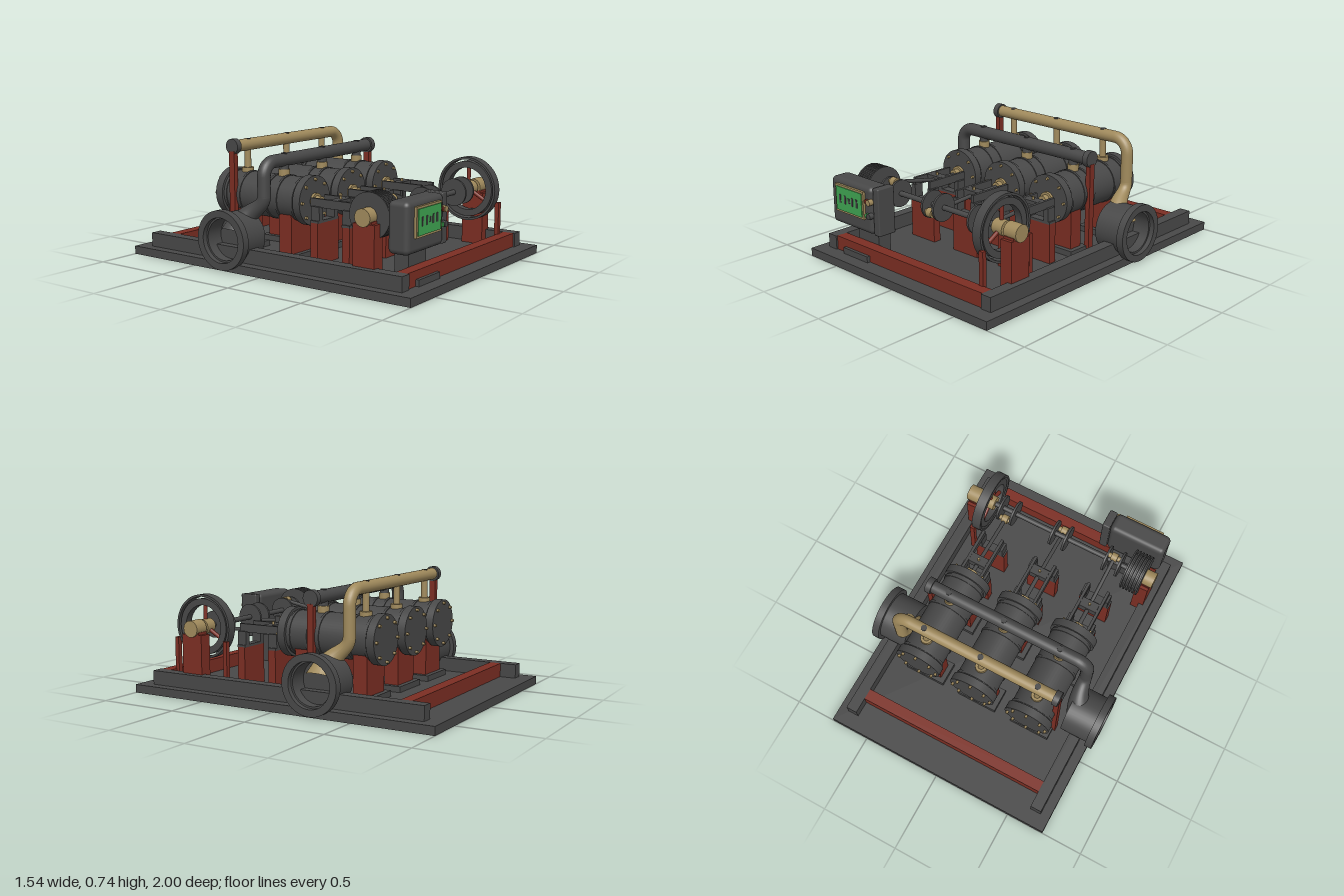
import * as THREE from 'three';
import { RoundedBoxGeometry } from 'three/addons/geometries/RoundedBoxGeometry.js';

const mat = (name, color) => {
  const m = new THREE.MeshStandardMaterial({ color });
  m.name = name;
  return m;
};

export function createModel() {
  const root = new THREE.Group();
  root.name = 'steamPump';
  const iron = mat('darkIron', 0x484848), red = mat('redPaint', 0x7c2e23);
  const brass = mat('brass', 0xa08a5c), green = mat('screenGreen', 0x3fa552);

  const add = (name, geo, m, x = 0, y = 0, z = 0, parent = root) => {
    const mesh = new THREE.Mesh(geo, m);
    mesh.name = name;
    mesh.position.set(x, y, z);
    parent.add(mesh);
    return mesh;
  };
  // box given by its limits on each axis
  const box = (name, m, x0, x1, y0, y1, z0, z1, parent) =>
    add(name, new THREE.BoxGeometry(x1 - x0, y1 - y0, z1 - z0), m,
      (x0 + x1) / 2, (y0 + y1) / 2, (z0 + z1) / 2, parent);
  // cylinder centred on a point, lying along the given axis
  const cyl = (name, m, axis, r, len, x, y, z, parent, seg = 32) => {
    const g = new THREE.CylinderGeometry(r, r, len, seg);
    if (axis === 'x') g.rotateZ(Math.PI / 2);
    if (axis === 'z') g.rotateX(Math.PI / 2);
    return add(name, g, m, x, y, z, parent);
  };
  const rod = (name, m, a, b, r) => {
    const mesh = cyl(name, m, 'y', r, a.distanceTo(b), 0, 0, 0, root, 16);
    mesh.position.copy(a).add(b).multiplyScalar(0.5);
    mesh.quaternion.setFromUnitVectors(new THREE.Vector3(0, 1, 0), b.clone().sub(a).normalize());
  };
  const V = (x, y, z) => new THREE.Vector3(x, y, z);
  const ring = (name, m, rOut, rIn, w, x, y, z) => {
    const h = w / 2;
    const g = new THREE.LatheGeometry([[rIn, -h], [rOut, -h], [rOut, -h], [rOut, h], [rOut, h],
      [rIn, h], [rIn, h], [rIn, -h]].map(p => new THREE.Vector2(...p)), 48);
    return add(name, g.rotateZ(-Math.PI / 2), m, x, y, z);
  };

  // base plate and frame
  box('basePlate', iron, -0.74, 0.74, 0, 0.05, -1, 1);
  for (const s of [-1, 1]) add('sideRail', new THREE.BoxGeometry(0.07, 0.085, 1.82), iron, s * 0.645, 0.0925, 0);
  box('frontCrossRail', red, -0.61, 0.61, 0.05, 0.135, 0.83, 0.9);
  box('rearCrossRail', red, -0.61, 0.61, 0.05, 0.135, -0.81, -0.74);

  const shaftY = 0.405, shaftZ = 0.64, throwR = 0.06;
  [-0.37, 0, 0.37].forEach((x, i) => {
    // cylinder with flanges, bands and bolts
    const c = new THREE.Group();
    c.name = 'pumpCylinder';
    c.position.set(x, 0.4, 0);
    root.add(c);
    cyl('cylinderBody', iron, 'z', 0.13, 0.62, 0, 0, -0.205, c, 48);
    for (const z of [0.09, -0.495]) cyl('cylinderFlange', iron, 'z', 0.146, 0.05, 0, 0, z, c, 48);
    for (const z of [0.045, -0.07, -0.15, -0.35, -0.455]) cyl('cylinderBand', iron, 'z', 0.135, 0.015, 0, 0, z, c, 48);
    for (let k = 0; k < 8; k++) {
      const a = k * Math.PI / 4;
      for (const z of [0.119, -0.526])
        cyl('flangeBolt', brass, 'z', 0.009, 0.02, Math.cos(a) * 0.125, Math.sin(a) * 0.125, z, c, 6);
    }
    cyl('glandFlange', brass, 'z', 0.045, 0.02, 0, 0, 0.122, c);
    cyl('gland', brass, 'z', 0.03, 0.05, 0, 0, 0.14, c);

    // saddles under the cylinder
    for (const z of [-0.025, -0.41]) {
      box('saddle', red, x - 0.1, x + 0.1, 0.05, 0.32, z - 0.045, z + 0.045);
      box('saddleFoot', iron, x - 0.13, x + 0.13, 0.05, 0.085, z - 0.075, z + 0.075);
    }

    // guide supports and slide bars
    for (const z of [0.185, 0.405]) {
      box('guideSupport', red, x - 0.1, x + 0.1, 0.05, 0.292, z - 0.025, z + 0.025);
      box('guidePlate', iron, x - 0.1, x + 0.1, 0.29, 0.305, z - 0.027, z + 0.027);
      for (const s of [-1, 1]) add('guideBracket', new THREE.BoxGeometry(0.035, 0.08, 0.06), iron, x + s * 0.073, 0.345, z);
    }
    for (const s of [-1, 1]) add('slideBar', new THREE.BoxGeometry(0.018, 0.05, 0.29), iron, x + s * 0.066, 0.405, 0.285);

    // crank, connecting rod and crosshead
    const a = [90, 330, 210][i] * Math.PI / 180;
    const pinY = shaftY + throwR * Math.sin(a), pinZ = shaftZ + throwR * Math.cos(a);
    const headZ = [0.3, 0.35, 0.24][i];
    for (const s of [-1, 1]) cyl('crankWeb', iron, 'x', 0.083, 0.014, x + s * 0.046, shaftY, shaftZ);
    cyl('crankPin', brass, 'x', 0.016, 0.09, x, pinY, pinZ);
    cyl('rodBigEnd', brass, 'x', 0.027, 0.04, x, pinY, pinZ);
    rod('connectingRod', iron, V(x, 0.4, headZ), V(x, pinY, pinZ), 0.012);
    rod('pistonRod', iron, V(x, 0.4, 0.1), V(x, 0.4, headZ), 0.013);
    box('crosshead', iron, x - 0.056, x + 0.056, 0.375, 0.43, headZ - 0.03, headZ + 0.03);
    cyl('crossheadOiler', brass, 'y', 0.008, 0.02, x, 0.437, headZ, root, 12);

    // branch pipes with collars and cover caps
    cyl('outletBranch', brass, 'y', 0.02, 0.2, x, 0.6, -0.39);
    cyl('outletFoot', brass, 'y', 0.036, 0.035, x, 0.535, -0.39);
    cyl('inletBranch', brass, 'y', 0.034, 0.05, x, 0.54, -0.11);
    cyl('inletCollar', iron, 'y', 0.028, 0.04, x, 0.575, -0.11);
    cyl('outletCap', iron, 'y', 0.018, 0.008, x, 0.722, -0.39, root, 16);
    cyl('inletCap', iron, 'y', 0.018, 0.008, x, 0.657, -0.11, root, 16);
  });

  // header pipes: s is the side on which the pipe turns down
  const header = (name, m, s, y, z, r, bend) => {
    const path = new THREE.CurvePath();
    path.add(new THREE.LineCurve3(V(-s * 0.49, y, z), V(s * (0.555 - bend), y, z)));
    path.add(new THREE.CubicBezierCurve3(V(s * (0.555 - bend), y, z), V(s * (0.555 - bend * 0.45), y, z),
      V(s * 0.555, y - bend * 0.45, z), V(s * 0.555, y - bend, z)));
    path.add(new THREE.LineCurve3(V(s * 0.555, y - bend, z), V(s * 0.555, 0.42, z)));
    add(name + 'Pipe', new THREE.TubeGeometry(path, 90, r, 24), m);
    cyl(name + 'EndCap', iron, 'x', r + 0.01, 0.037, -s * 0.495, y, z);
    box(name + 'Post', red, -s * 0.5 - 0.016, -s * 0.5 + 0.016, 0.05, y - r * 0.8, z - 0.02, z + 0.02);

    // widening duct from the header into the side port
    const duct = new THREE.CubicBezierCurve3(V(s * 0.555, 0.43, z), V(s * 0.555, 0.34, z),
      V(s * 0.555, 0.34, -0.26), V(s * 0.62, 0.2, -0.26));
    const seg = 20, rad = 32, g = new THREE.TubeGeometry(duct, seg, 1, rad);
    const p = g.attributes.position, v = V(0, 0, 0);
    for (let k = 0; k < p.count; k++) {
      const t = Math.floor(k / (rad + 1)) / seg, c = duct.getPointAt(t);
      v.fromBufferAttribute(p, k).sub(c).multiplyScalar(r + (0.1 - r) * t * t).add(c);
      p.setXYZ(k, v.x, v.y, v.z);
    }
    g.computeVertexNormals();
    add(name + 'Duct', g, m);

    // open flanged port
    cyl('portEnd', iron, 'x', 0.125, 0.08, s * 0.59, 0.185, -0.26);
    ring('portBody', iron, 0.15, 0.122, 0.19, s * 0.645, 0.185, -0.26);
    ring('portFlange', iron, 0.175, 0.133, 0.045, s * 0.7475, 0.185, -0.26);
  };
  header('outlet', brass, 1, 0.69, -0.39, 0.036, 0.09);
  header('inlet', iron, -1, 0.62, -0.11, 0.039, 0.08);

  // crankshaft and end bearings
  cyl('crankshaft', iron, 'x', 0.016, 1.24, 0, shaftY, shaftZ);
  for (const s of [-1, 1]) {
    add('bearingPedestal', new THREE.BoxGeometry(0.08, 0.32, 0.14), red, s * 0.6, 0.21, shaftZ);
    add('bearingSeat', new THREE.BoxGeometry(0.076, 0.03, 0.1), red, s * 0.6, 0.37, shaftZ);
    cyl('bearing', brass, 'x', 0.05, 0.09, s * 0.607, shaftY, shaftZ);
  }

  // flywheel with red spokes, guard hoop and posts
  ring('flywheelRim', iron, 0.17, 0.13, 0.05, 0.505, shaftY, shaftZ);
  ring('guardHoop', iron, 0.195, 0.181, 0.06, 0.505, shaftY, shaftZ);
  cyl('flywheelHub', brass, 'x', 0.045, 0.075, 0.505, shaftY, shaftZ);
  for (let k = 0; k < 3; k++) {
    const a = Math.PI / 2 + k * Math.PI * 2 / 3, c = Math.cos(a), n = Math.sin(a);
    rod('flywheelSpoke', red, V(0.505, shaftY + n * 0.03, shaftZ + c * 0.03),
      V(0.505, shaftY + n * 0.14, shaftZ + c * 0.14), 0.012);
  }
  for (const z of [0.463, 0.825]) box('guardPost', red, 0.525, 0.555, 0.05, 0.33, z - 0.013, z + 0.013);

  // grooved belt pulley
  cyl('pulleyCore', iron, 'x', 0.108, 0.11, -0.53, shaftY, shaftZ, root, 40);
  for (let k = 0; k < 6; k++) cyl('pulleyRib', iron, 'x', 0.13, 0.01, -0.58 + k * 0.021, shaftY, shaftZ, root, 40);

  // control panel on its stand
  box('panelFoot', iron, -0.53, -0.31, 0.05, 0.087, 0.78, 0.92);
  box('panelColumn', iron, -0.49, -0.31, 0.05, 0.23, 0.74, 0.828);
  add('panelCase', new RoundedBoxGeometry(0.37, 0.285, 0.13, 4, 0.03), iron, -0.445, 0.37, 0.845);
  add('panelSideBox', new RoundedBoxGeometry(0.05, 0.285, 0.12, 2, 0.008), iron, -0.235, 0.37, 0.84);
  box('screenFrame', brass, -0.57, -0.315, 0.315, 0.482, 0.9, 0.925);
  box('screen', green, -0.558, -0.327, 0.327, 0.47, 0.924, 0.93);
  [-0.52, -0.475, -0.44, -0.41, -0.37].forEach((x, k) =>
    add('screenBar', new THREE.BoxGeometry(0.014, k === 2 ? 0.03 : 0.05, 0.004), iron, x, 0.4, 0.931));
  cyl('stopButton', red, 'z', 0.013, 0.025, -0.295, 0.43, 0.912, root, 20);
  cyl('startButton', green, 'z', 0.013, 0.025, -0.295, 0.345, 0.912, root, 20);
  cyl('panelKnob', brass, 'z', 0.018, 0.03, -0.27, 0.428, 0.915, root, 20);
  cyl('panelSwitch', iron, 'z', 0.018, 0.03, -0.27, 0.345, 0.915, root, 20);

  return root;
}
